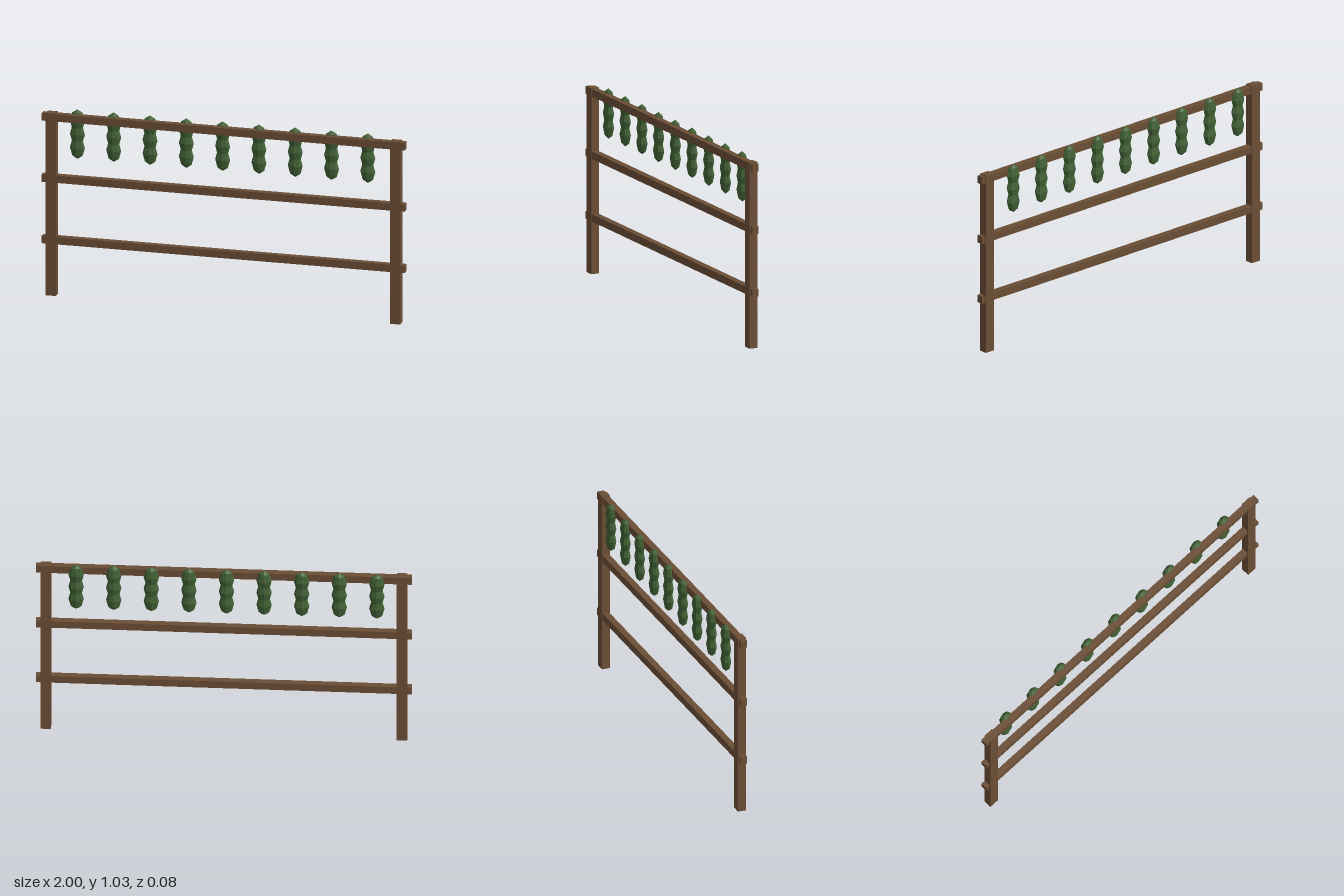
import * as THREE from 'three';

export function createModel() {
  const group = new THREE.Group();
  const wood = new THREE.MeshStandardMaterial({ color: 0x6b4e35 });
  const leaf = new THREE.MeshStandardMaterial({ color: 0x416135, flatShading: true });
  const fenceZ = 0.017;

  function beam(name, w, h, d, x, y) {
    const mesh = new THREE.Mesh(new THREE.BoxGeometry(w, h, d), wood);
    mesh.name = name;
    mesh.position.set(x, y, fenceZ);
    group.add(mesh);
  }

  // Two end posts
  beam('leftPost', 0.056, 1.015, 0.046, 0.948, 0.5075);
  beam('rightPost', 0.056, 1.015, 0.046, -0.948, 0.5075);

  // Three rails running through the posts
  beam('bottomRail', 2, 0.041, 0.037, 0, 0.307);
  beam('middleRail', 2, 0.041, 0.037, 0, 0.649);
  beam('topRail', 2, 0.041, 0.037, 0, 0.99);

  // Hanging bundles, each made of three overlapping faceted lobes
  const lobe = new THREE.SphereGeometry(1, 8, 4);
  for (let i = 0; i < 9; i++) {
    const bundle = new THREE.Group();
    bundle.name = 'hangingBundle';
    bundle.position.set(-0.815 + i * 0.2, 0, -0.01);
    [0.97, 0.896, 0.821].forEach((y, k) => {
      const mesh = new THREE.Mesh(lobe, leaf);
      mesh.name = ['topLobe', 'middleLobe', 'bottomLobe'][k];
      mesh.position.y = y;
      mesh.scale.set(0.041, 0.063, 0.027);
      bundle.add(mesh);
    });
    group.add(bundle);
  }
  return group;
}
